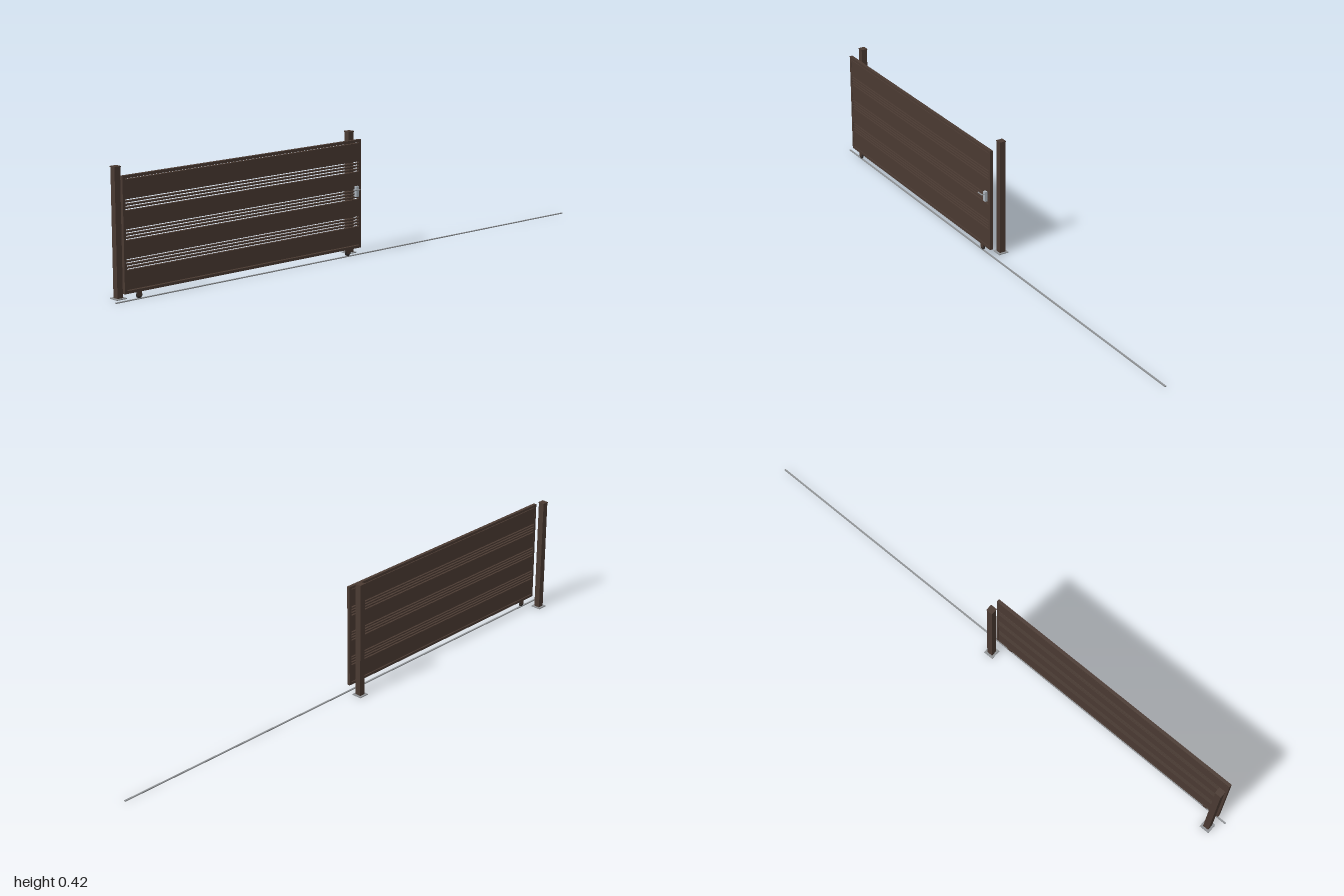
import * as THREE from 'three';

const mat = (name, color) => {
  const m = new THREE.MeshStandardMaterial({ color });
  m.name = name;
  return m;
};

export function createModel() {
  const brown = mat('dark brown paint', 0x4a3a32);
  const dark = mat('dark rubber', 0x2c2826);
  const steel = mat('brushed steel', 0xa9b2ba);
  const zinc = mat('zinc grey', 0x8f9295);

  const model = new THREE.Group();
  model.name = 'slidingGate';

  // box given by its extents on each axis
  const box = (parent, name, material, [x0, x1], [y0, y1], [z0, z1]) => {
    const m = new THREE.Mesh(new THREE.BoxGeometry(x1 - x0, y1 - y0, z1 - z0), material);
    m.position.set((x0 + x1) / 2, (y0 + y1) / 2, (z0 + z1) / 2);
    m.name = name;
    parent.add(m);
  };
  const cylinder = (parent, name, material, r, length, x, y, z, axis) => {
    const m = new THREE.Mesh(new THREE.CylinderGeometry(r, r, length, 20), material);
    if (axis === 'z') m.rotation.x = Math.PI / 2;
    if (axis === 'x') m.rotation.z = Math.PI / 2;
    m.position.set(x, y, z);
    m.name = name;
    parent.add(m);
  };

  // ground rail
  box(model, 'groundRail', zinc, [-1, 1], [0, 0.003], [0.0165, 0.0225]);

  // posts with base plate and cap
  for (const x of [-0.958, -0.0075]) {
    const post = new THREE.Group();
    post.name = 'post';
    post.position.set(x, 0, -0.025);
    model.add(post);
    box(post, 'postBasePlate', zinc, [-0.0185, 0.0185], [0, 0.003], [-0.0185, 0.0185]);
    box(post, 'postColumn', brown, [-0.0108, 0.0108], [0.003, 0.415], [-0.0108, 0.0108]);
    box(post, 'postCap', brown, [-0.0122, 0.0122], [0.415, 0.418], [-0.0122, 0.0122]);
  }

  // sliding leaf frame
  const leaf = new THREE.Group();
  leaf.name = 'gateLeaf';
  model.add(leaf);
  const L = -0.968, R = 0.003, B = 0.025, T = 0.395, Z = [0.0138, 0.0252];
  const w = 0.009;
  box(leaf, 'topRail', brown, [L, R], [T - w, T], Z);
  box(leaf, 'bottomRail', brown, [L, R], [B, B + w], Z);
  box(leaf, 'leftStile', brown, [R - w, R], [B + w, T - w], Z);
  box(leaf, 'rightStile', brown, [L, L + w], [B + w, T - w], Z);

  // wide boards with three thin slats in each space between them
  const mid = (B + T) / 2, pitch = 0.0935, board = 0.0585;
  const unit = (pitch - board) / 7;
  const inner = [L + w, R - w], depth = [0.0145, 0.0245];
  for (let i = 0; i < 4; i++) {
    const y = mid + (i - 1.5) * pitch;
    const y0 = i === 0 ? B + w + 0.003 : y - board / 2;
    const y1 = i === 3 ? T - w - 0.003 : y + board / 2;
    box(leaf, 'wideBoard', brown, inner, [y0, y1], depth);
  }
  for (let g = -1; g <= 1; g++)
    for (let i = -1; i <= 1; i++) {
      const y = mid + g * pitch + i * unit * 2;
      box(leaf, 'thinSlat', brown, inner, [y - unit / 2, y + unit / 2], depth);
    }

  // rollers under the leaf
  for (const x of [-0.911, -0.053]) {
    for (const z of [0.0164, 0.0226])
      box(leaf, 'rollerBracket', brown, [x - 0.008, x + 0.008], [0.010, B], [z - 0.0008, z + 0.0008]);
    cylinder(leaf, 'roller', dark, 0.0105, 0.0046, x, 0.0135, 0.0195, 'z');
  }

  // lock body and lever handle
  const handle = new THREE.Group();
  handle.name = 'handle';
  leaf.add(handle);
  box(handle, 'lockPlate', steel, [-0.026, -0.014], [0.203, 0.239], [0.0245, 0.034]);
  cylinder(handle, 'leverSpindle', zinc, 0.002, 0.011, -0.02, 0.229, 0.0385, 'z');
  cylinder(handle, 'lever', zinc, 0.002, 0.026, -0.031, 0.229, 0.0425, 'x');

  return model;
}
